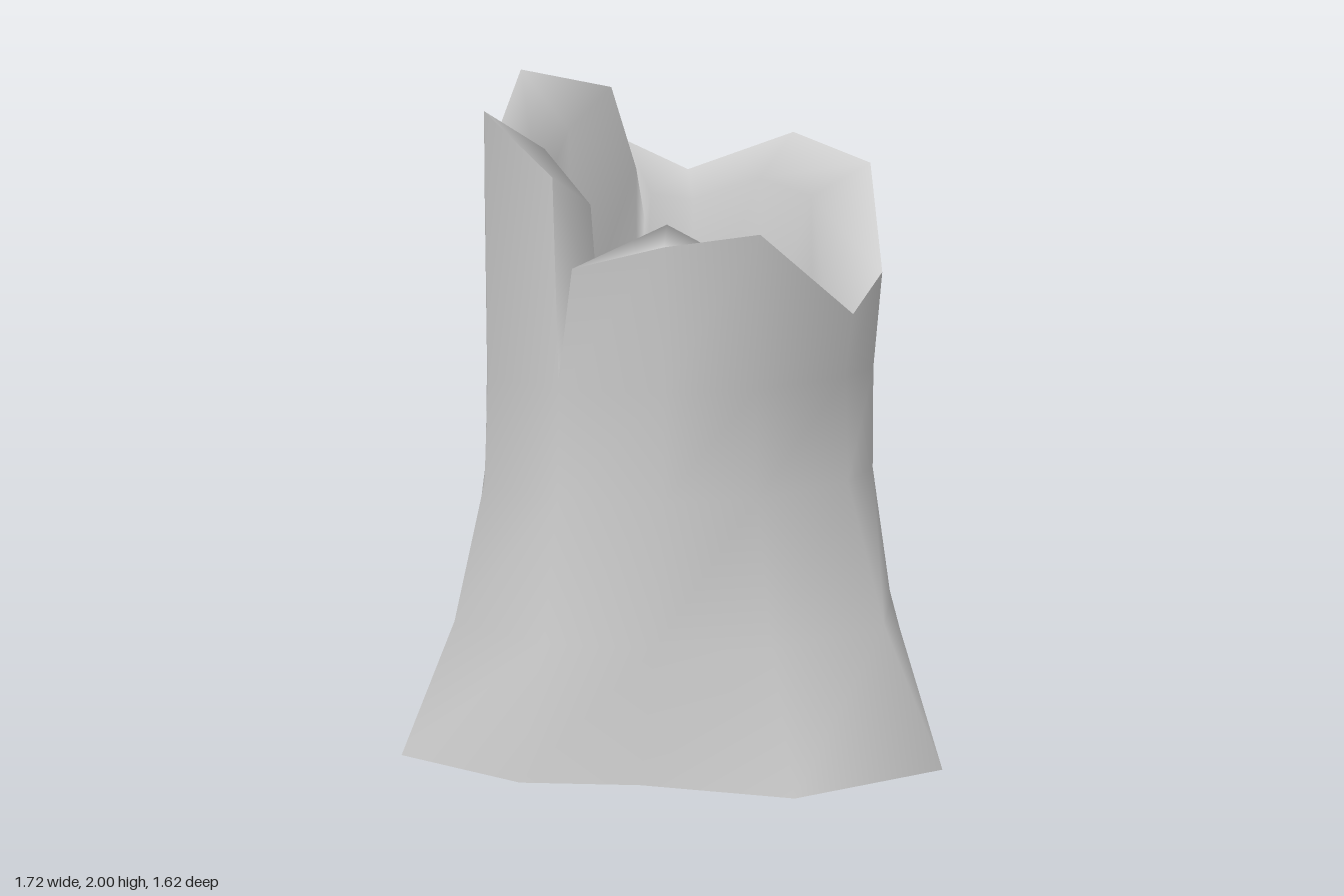
import * as THREE from 'three';
import { mergeVertices } from 'three/addons/utils/BufferGeometryUtils.js';

// Columns round the trunk: rim x, z, y | inner lip x, z, y | foot x, z
// (the two sides of a crack have no foot: they share that of the crack)
const columns = [
  [-0.50, -0.25, 1.78, -0.34, -0.21, 1.62],
  [-0.43, -0.44, 1.69, -0.30, -0.35, 1.60, -0.54, -0.61],
  [-0.14, -0.63, 1.81, -0.11, -0.46, 1.67, -0.19, -0.81],
  [0.20, -0.63, 1.72, 0.12, -0.46, 1.62, 0.26, -0.81],
  [0.42, -0.46, 1.41, 0.28, -0.36, 1.37, 0.51, -0.54],
  [0.53, -0.23, 1.31, 0.33, -0.18, 1.26, 0.855, -0.28],
  [0.565, 0.16, 1.55, 0.34, 0.11, 1.49, 0.76, 0.20],
  [0.44, 0.39, 1.52, 0.31, 0.27, 1.57, 0.41, 0.45],
  [0.25, 0.55, 1.46, 0.19, 0.38, 1.39],
  [0.20, 0.56, 1.16, 0.15, 0.385, 1.36, 0.18, 0.69], // front crack
  [0.18, 0.56, 1.70, 0.12, 0.385, 1.62],
  [-0.14, 0.555, 1.875, -0.09, 0.385, 1.77, -0.23, 0.81],
  [-0.38, 0.39, 1.71, -0.27, 0.27, 1.62, -0.50, 0.50],
  [-0.51, 0.16, 2.00, -0.35, 0.10, 1.82, -0.58, 0.21],
  [-0.51, -0.19, 1.95, -0.35, -0.16, 1.70],
  [-0.515, -0.22, 1.33, -0.345, -0.19, 1.54, -0.86, -0.30], // side crack
];
const crackOf = { 8: 9, 10: 9, 14: 15, 0: 15 };

// Skin neighbouring cross-sections, listed outward-facing, with smooth normals
function skin(rings) {
  const n = columns.length;
  const index = [];
  for (let i = 0; i < rings.length - 1; i++) {
    for (let j = 0; j < n; j++) {
      const k = (j + 1) % n;
      const a = i * n + k, b = i * n + j;
      index.push(a, b, b + n, a, b + n, a + n);
    }
  }
  const geo = new THREE.BufferGeometry();
  geo.setAttribute('position', new THREE.Float32BufferAttribute(rings.flat(2), 3));
  geo.setIndex(index);
  const merged = mergeVertices(geo);
  merged.computeVertexNormals();
  return merged;
}

// Bark at a share of the way from rim to foot, drawn in on the left side
function bark(f, y, rootShare, waist) {
  return columns.map((column, i) => {
    const [x, z, , , , , fx, fz] = columns[crackOf[i] ?? i];
    const t = f + (fx < -0.8 ? rootShare : 0);
    const s = x > 0.4 ? waist : 1;
    return [(x + (fx - x) * t) * s, y, (z + (fz - z) * t) * s];
  });
}

export function createModel() {
  const group = new THREE.Group();
  group.name = 'brokenStump';
  const wood = new THREE.MeshStandardMaterial({ color: 0xcccccc, side: THREE.DoubleSide });
  const add = (name, rings) => {
    const mesh = new THREE.Mesh(skin(rings), wood);
    mesh.name = name;
    group.add(mesh);
  };

  const rim = columns.map(([x, z, y]) => [x, y, z]);
  const lip = columns.map(([, , , x, z, y]) => [x, y, z]);
  const foot = bark(1, 0.05, 0, 1);
  const scaled = (ring, s, y) => ring.map(([x, , z]) => [x * s, y, z * s]);

  // Shallow underside
  add('underside', [scaled(foot, 0, 0), scaled(foot, 0.25, 0), foot]);

  // Flared bark up to the jagged rim
  add('bark', [
    foot,
    bark(0.4, 0.43, 0.24, 0.99),
    bark(0.05, 0.83, 0.17, 0.96),
    bark(0, 1.13, 0.05, 0.965),
    rim,
  ]);

  // Broken top sloping in to the lip, then the hollow down to its floor
  add('hollow', [
    rim,
    lip,
    scaled(lip, 1.02, 1.12),
    scaled(lip, 1, 0.65),
    scaled(lip, 0, 0.6),
  ]);
  return group;
}
